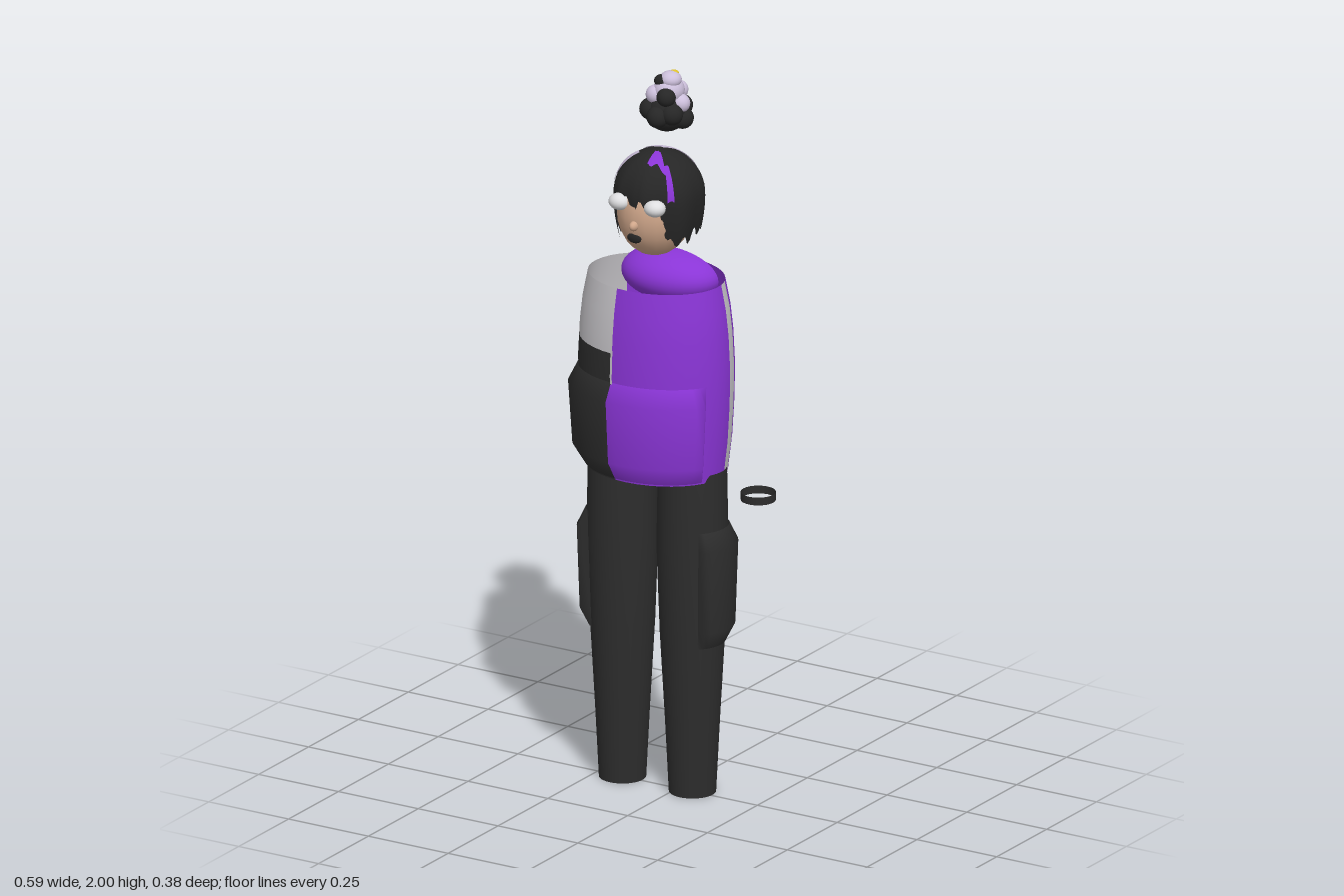
import * as THREE from 'three';

const mat = (name, color) => new THREE.MeshStandardMaterial({ name, color, side: THREE.DoubleSide });

export function createModel() {
  const M = {
    purple: mat('purple cloth', 0x8a35d6), black: mat('black cloth', 0x2d2d2d),
    grey: mat('light grey cloth', 0xc6c4c8), skin: mat('skin', 0xcfa68a),
    hair: mat('black hair', 0x262626), lilac: mat('pale lilac', 0xcdc0dc),
    yellow: mat('yellow', 0xe0c22a), white: mat('white', 0xdedee0),
  };
  const model = new THREE.Group();
  const add = (name, geo, m, x = 0, y = 0, z = 0) => {
    const mesh = new THREE.Mesh(geo, m);
    mesh.name = name;
    mesh.position.set(x, y, z);
    model.add(mesh);
    return mesh;
  };
  const blob = (name, m, x, y, z, rx, ry = rx, rz = rx) =>
    add(name, new THREE.SphereGeometry(1, 20, 14).scale(rx, ry, rz), m, x, y, z);

  // radius interpolated from a [y, r] profile
  const radiusAt = (prof, y) => {
    for (let i = 1; i < prof.length; i++) {
      const [y0, r0] = prof[i - 1], [y1, r1] = prof[i];
      if (y <= y1) return r0 + (r1 - r0) * (y - y0) / (y1 - y0);
    }
    return prof[prof.length - 1][1];
  };
  // slice of a revolved shell between two angles (0 = front) and two heights
  const shell = (prof, a, b, y0, y1, off = 0) => {
    const ys = [y0, ...prof.map(p => p[0]).filter(y => y > y0 && y < y1), y1];
    const pts = ys.map(y => new THREE.Vector2(radiusAt(prof, y) + off, y));
    return new THREE.LatheGeometry(pts, Math.max(2, Math.round((b - a) * 6)), a, b - a);
  };
  // padded pocket: raised patch whose edges sink back to the shell
  const pad = (prof, a, b, y0, y1, t, sinkA = true, sinkB = true) => {
    const pts = [[y0, 0.003], [y0 + 0.05, t], [y1 - 0.05, t], [y1, 0.003]]
      .map(([y, o]) => new THREE.Vector2(radiusAt(prof, y) + o, y));
    const n = 12, geo = new THREE.LatheGeometry(pts, n, a, b - a), p = geo.attributes.position;
    for (let i = 0; i < p.count; i++) {
      const col = Math.floor(i / pts.length);
      if ((col === 0 && sinkA) || (col === n && sinkB)) {
        const k = radiusAt(prof, p.getY(i)) / Math.hypot(p.getX(i), p.getZ(i));
        p.setXYZ(i, p.getX(i) * k, p.getY(i), p.getZ(i) * k);
      }
    }
    geo.computeVertexNormals();
    return geo;
  };

  // trousers: open tubes with cargo pockets on the outer sides
  const legProf = [[0, 0.063], [0.2, 0.073], [0.45, 0.087], [0.7, 0.096], [0.92, 0.092]];
  for (const [side, x] of [[-1, -0.176], [1, 0.043]]) {
    const name = side < 0 ? 'right' : 'left';
    add(name + 'Leg', shell(legProf, 0, Math.PI * 2, 0, 0.92), M.black, x, 0, -0.006);
    const mid = side * Math.PI / 2;
    add(name + 'CargoPocket', pad(legProf, mid - 0.85, mid + 0.85, 0.43, 0.76, 0.026), M.black, x, 0, -0.006);
  }

  // jacket: open oval barrel in colour panels
  const body = [[0.9, 0.2], [1.0, 0.212], [1.1, 0.218], [1.2, 0.22], [1.3, 0.215], [1.37, 0.207], [1.44, 0.193]];
  const jacket = (name, geo, m) => add(name, geo, m, -0.07, 0, -0.007).scale.z = 0.8;
  const seam = -0.15, back = 4.01;
  jacket('jacketLeftFront', shell(body, seam, 1.68, 0.9, 1.44), M.purple);
  jacket('sideStripe', shell(body, 1.68, 1.885, 0.9, 1.44), M.grey);
  jacket('jacketBack', shell(body, 1.885, back, 0.9, 1.44), M.purple);
  jacket('jacketLowerRight', shell(body, back - Math.PI * 2, seam, 0.9, 1.26), M.black);
  jacket('jacketUpperRight', shell(body, back - Math.PI * 2, seam, 1.26, 1.44), M.grey);
  jacket('frontPocketLeft', pad(body, seam, 1.15, 0.905, 1.18, 0.03, false, true), M.purple);
  jacket('frontPocketRight', pad(body, -1.15, seam, 0.905, 1.18, 0.03, true, false), M.black);
  jacket('zip', shell(body, seam - 0.01, seam + 0.02, 1.17, 1.27, 0.005), M.grey);

  // back badge: a rectangular frame in four strips
  const badge = (a, b, y0, y1) => jacket('backBadge', shell(body, a, b, y0, y1, 0.004), M.grey);
  badge(2.87, 3.95, 1.16, 1.18);
  badge(2.87, 3.95, 1.215, 1.235);
  badge(2.87, 3.12, 1.18, 1.215);
  badge(3.65, 3.95, 1.18, 1.215);

  // half hood hanging at the back
  const hood = new THREE.SphereGeometry(1, 24, 20, Math.PI * 1.5, Math.PI).rotateY(-Math.PI / 2);
  hood.computeBoundingBox();
  if (hood.boundingBox.max.x > 0.5) hood.rotateY(Math.PI);
  add('hood', hood.scale(0.145, 0.072, 0.107), M.purple, -0.07, 1.42, -0.085);

  // wrist band
  add('wristBand', new THREE.CylinderGeometry(0.047, 0.047, 0.022, 24, 1, true), M.black, 0.25, 0.875, -0.005);

  // head and face
  blob('head', M.skin, -0.07, 1.625, 0, 0.1, 0.125, 0.108);
  blob('nose', M.skin, -0.07, 1.61, 0.105, 0.012, 0.014, 0.018);
  blob('rightEye', M.white, -0.125, 1.665, 0.092, 0.03, 0.023, 0.026);
  blob('leftEye', M.white, -0.015, 1.665, 0.09, 0.03, 0.023, 0.028);
  blob('mouth', M.hair, -0.075, 1.572, 0.097, 0.022, 0.014, 0.007);

  // hair: dome running into hanging locks, with a jagged hem
  const hem = a => {
    const f = Math.abs(Math.atan2(Math.sin(a), Math.cos(a)));
    const jag = 0.014 * Math.sin(a * 17);
    if (f < 0.55) return 1.672 + jag - 0.03 * Math.max(0, 0.12 - f) / 0.12;
    if (f < 0.75) return 1.672 - (f - 0.55) * 0.55 + jag;
    return (f < 1.5 ? 1.56 : 1.575) + jag;
  };
  const hairSurface = (a0, a1, s0, s1, k) => {
    const geo = new THREE.PlaneGeometry(1, 1, Math.ceil((a1 - a0) * 16), 18), p = geo.attributes.position;
    for (let i = 0; i < p.count; i++) {
      const a = a0 + (p.getX(i) + 0.5) * (a1 - a0);
      const s = s0 + (0.5 - p.getY(i)) * (s1 - s0);
      const y = 1.79 - (1.79 - hem(a)) * (1 - Math.cos(s * Math.PI / 2));
      const d = (y - 1.67) / 0.12;
      const r = (d > 0 ? Math.sqrt(Math.max(0, 1 - d * d)) : 1 - 0.14 * d * d) * k * (1 + 0.025 * Math.sin(a * 7) * s);
      p.setXYZ(i, Math.sin(a) * r * 0.122, 1.67 + (y - 1.67) * k, Math.cos(a) * r * 0.121);
    }
    geo.computeVertexNormals();
    return geo;
  };
  const hair = (name, m, ...args) => add(name, hairSurface(...args), m, -0.07, 0, -0.018);
  hair('hair', M.hair, -Math.PI, Math.PI, 0, 1, 1);
  hair('paleCrown', M.lilac, 2.5, 4.3, 0.05, 0.52, 1.02);
  hair('paleStreak', M.lilac, -1.35, -0.95, 0.2, 0.6, 1.02);
  hair('yellowFleck', M.yellow, 3.3, 3.6, 0.3, 0.42, 1.035);
  hair('purpleStreak', M.purple, 0.1, 0.75, 0.1, 0.4, 1.02);
  hair('purpleStrand', M.purple, 0.75, 0.9, 0.3, 0.66, 1.02);

  // floating hair bun: dark lumps below, pale lumps on top
  blob('bun', M.hair, -0.07, 1.887, -0.06, 0.058, 0.057, 0.06);
  for (let i = 0; i < 7; i++) {
    const a = i * Math.PI * 2 / 7;
    blob('bunCurl', M.hair, -0.07 + 0.043 * Math.sin(a), 1.882 + 0.012 * Math.sin(i * 2.4), -0.06 + 0.048 * Math.cos(a), 0.03);
  }
  blob('bunTop', M.lilac, -0.065, 1.945, -0.06, 0.042, 0.04, 0.045);
  for (let i = 0; i < 5; i++) {
    const a = i * Math.PI * 2 / 5 + 0.4;
    blob('bunTopCurl', i === 0 ? M.hair : M.lilac, -0.065 + 0.035 * Math.sin(a), 1.925 + 0.012 * Math.cos(i * 3), -0.06 + 0.038 * Math.cos(a), 0.026);
  }
  blob('bunTip', M.lilac, -0.058, 1.977, -0.058, 0.03, 0.023, 0.03);
  blob('bunTipDark', M.hair, -0.075, 1.973, -0.045, 0.024, 0.018, 0.02);
  blob('bunFleck', M.yellow, -0.055, 1.992, -0.07, 0.014, 0.008, 0.012);
  blob('bunFleck', M.yellow, -0.095, 1.95, -0.1, 0.011);
  return model;
}
